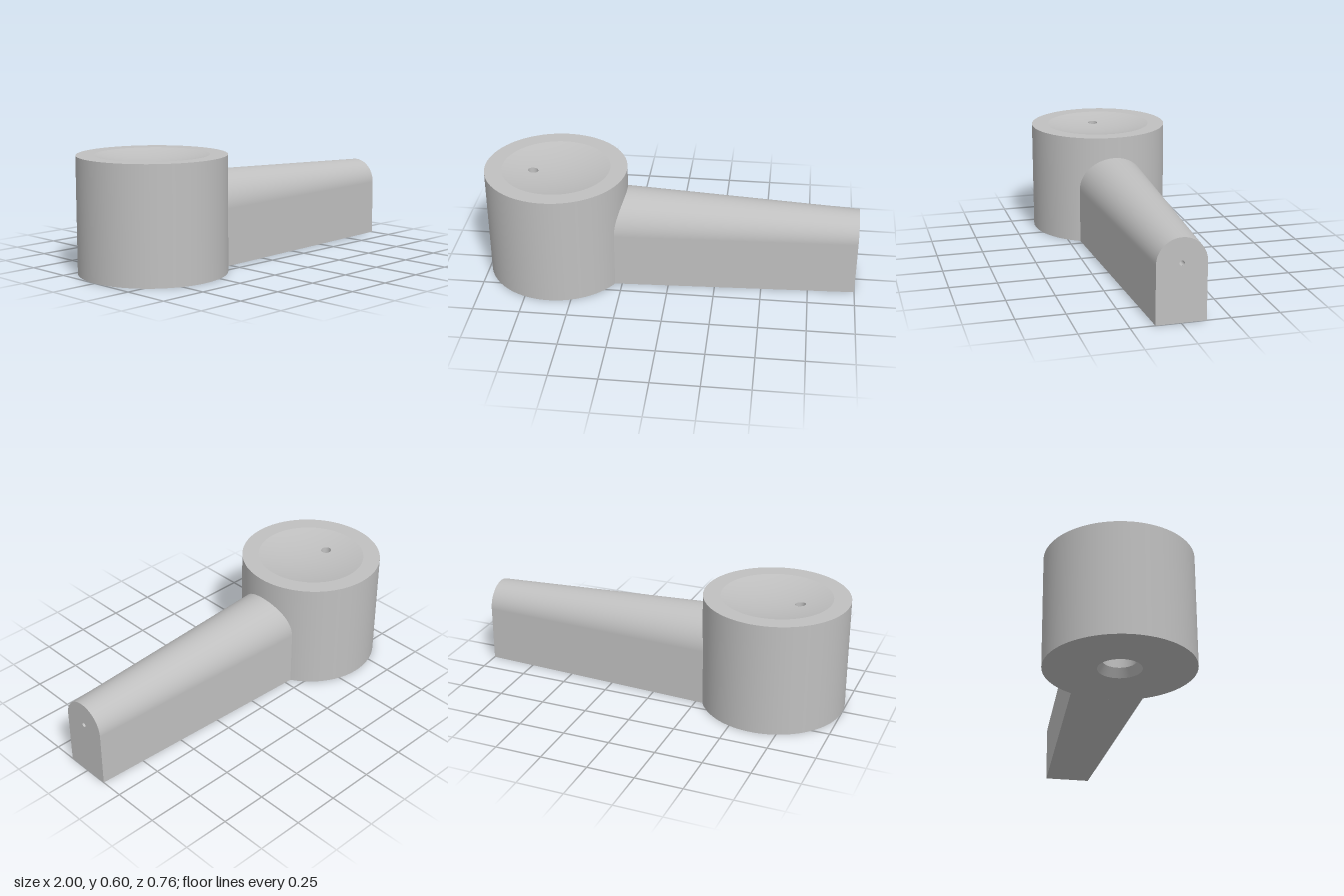
import * as THREE from 'three';
import { mergeVertices } from 'three/addons/utils/BufferGeometryUtils.js';

const R = 0.381, H = 0.6, CX = -0.62;            // drum radius, height, centre
const DISH_R = 0.29, DISH_D = 0.034;             // shallow dish in the top
const VENT_X = -0.745, VENT_R = 0.027;           // drilled hole in the dish
const SPRING = 0.3, TIP_W = 0.127, TIP_HOLE = 0.013;

// Surface from a rule f(u, v) -> [x, y, z]; faces point along du x dv.
function grid(nu, nv, f) {
  const pos = [], idx = [];
  for (let i = 0; i <= nu; i++)
    for (let j = 0; j <= nv; j++) pos.push(...f(i / nu, j / nv));
  for (let i = 0; i < nu; i++)
    for (let j = 0; j < nv; j++) {
      const a = i * (nv + 1) + j, b = a + nv + 1;
      idx.push(a, b, b + 1, a, b + 1, a + 1);
    }
  const g = new THREE.BufferGeometry();
  g.setAttribute('position', new THREE.Float32BufferAttribute(pos, 3));
  g.setIndex(idx);
  const merged = mergeVertices(g, 1e-5);
  merged.computeVertexNormals();
  return merged;
}

// Half width of the tapering arm
const armW = (x) => TIP_W + (1 - x) * 0.0465;

// x where the arm line at fraction c of its half width meets the drum
function armStart(c) {
  let x = -0.28;
  for (let k = 0; k < 12; k++) x = CX + Math.sqrt(R * R - (c * armW(x)) ** 2);
  return x;
}

const dishY = (x, z) => {
  const d = Math.hypot(x - CX, z) / DISH_R;
  return H - DISH_D * Math.max(0, 1 - d * d);
};

export function createModel() {
  const model = new THREE.Group();
  const grey = new THREE.MeshStandardMaterial({ color: 0xc0c0c0, side: THREE.DoubleSide });
  grey.name = 'plain grey';

  const add = (name, geometry, x = 0, y = 0, z = 0) => {
    const mesh = new THREE.Mesh(geometry, grey);
    mesh.name = name;
    mesh.position.set(x, y, z);
    model.add(mesh);
    return mesh;
  };
  const wall = (name, rTop, rBottom, y0, y1, x = CX) =>
    add(name, new THREE.CylinderGeometry(rTop, rBottom, y1 - y0, 96, 1, true), x, (y0 + y1) / 2);
  const disc = (name, rIn, rOut, y, up, x = CX) => {
    const g = rIn > 0 ? new THREE.RingGeometry(rIn, rOut, 96) : new THREE.CircleGeometry(rOut, 48);
    return add(name, g.rotateX(up ? -Math.PI / 2 : Math.PI / 2), x, y);
  };

  // Drum with flat rim and underside
  wall('drumWall', R, R, 0, H);
  disc('drumRim', DISH_R, R, H, true);
  disc('drumUnderside', 0.111, R, 0, false);

  // Shallow dish, spreading from the drilled hole out to its round edge
  add('dish', grid(96, 20, (u, v) => {
    const a = u * Math.PI * 2, c = Math.cos(a), s = Math.sin(a);
    const x = THREE.MathUtils.lerp(VENT_X + VENT_R * c, CX + DISH_R * c, v);
    const z = THREE.MathUtils.lerp(VENT_R * s, DISH_R * s, v);
    return [x, dishY(x, z), z];
  }));

  // Drilled hole in the dish
  add('ventWall', grid(48, 1, (u, v) => {
    const a = u * Math.PI * 2;
    const x = VENT_X + VENT_R * Math.cos(a), z = VENT_R * Math.sin(a);
    return [x, v ? dishY(x, z) : 0.28, z];
  }));
  disc('ventFloor', 0, VENT_R, 0.28, true, VENT_X);

  // Countersunk socket in the underside
  wall('socketChamfer', 0.085, 0.111, 0, 0.045);
  wall('socketWall', 0.085, 0.085, 0.045, 0.25);
  disc('socketEnd', 0, 0.085, 0.25, false);

  // Arm: straight sides under a round top, meeting the drum along its curve
  const arcN = 48;
  add('armShell', grid(24, arcN + 2, (u, v) => {
    const j = Math.round(v * (arcN + 2));
    const a = THREE.MathUtils.clamp((j - 1) / arcN, 0, 1) * Math.PI;
    const c = Math.cos(a), x0 = armStart(c);
    const x = x0 + (1 - x0) * u, w = armW(x);
    const y = j === 0 || j === arcN + 2 ? 0 : SPRING + w * Math.sin(a);
    return [x, y, w * c];
  }));
  add('armUnderside', grid(1, 24, (u, v) => {
    const c = v * 2 - 1, x = u ? 1 : armStart(c);
    return [x, 0, armW(x) * c];
  }));

  // Arm tip with its small bore
  const face = new THREE.Shape();
  face.moveTo(-TIP_W, 0);
  face.lineTo(TIP_W, 0);
  face.lineTo(TIP_W, SPRING);
  face.absarc(0, SPRING, TIP_W, 0, Math.PI, false);
  face.closePath();
  const hole = new THREE.Path();
  hole.absarc(0, SPRING, TIP_HOLE, 0, Math.PI * 2, true);
  face.holes.push(hole);
  add('armTip', new THREE.ShapeGeometry(face, 24).rotateY(Math.PI / 2), 1);

  const boreLength = 1 - VENT_X;
  const bore = new THREE.CylinderGeometry(TIP_HOLE, TIP_HOLE, boreLength, 24, 1, true);
  add('armBore', bore.rotateZ(Math.PI / 2), 1 - boreLength / 2, SPRING);

  return model;
}
